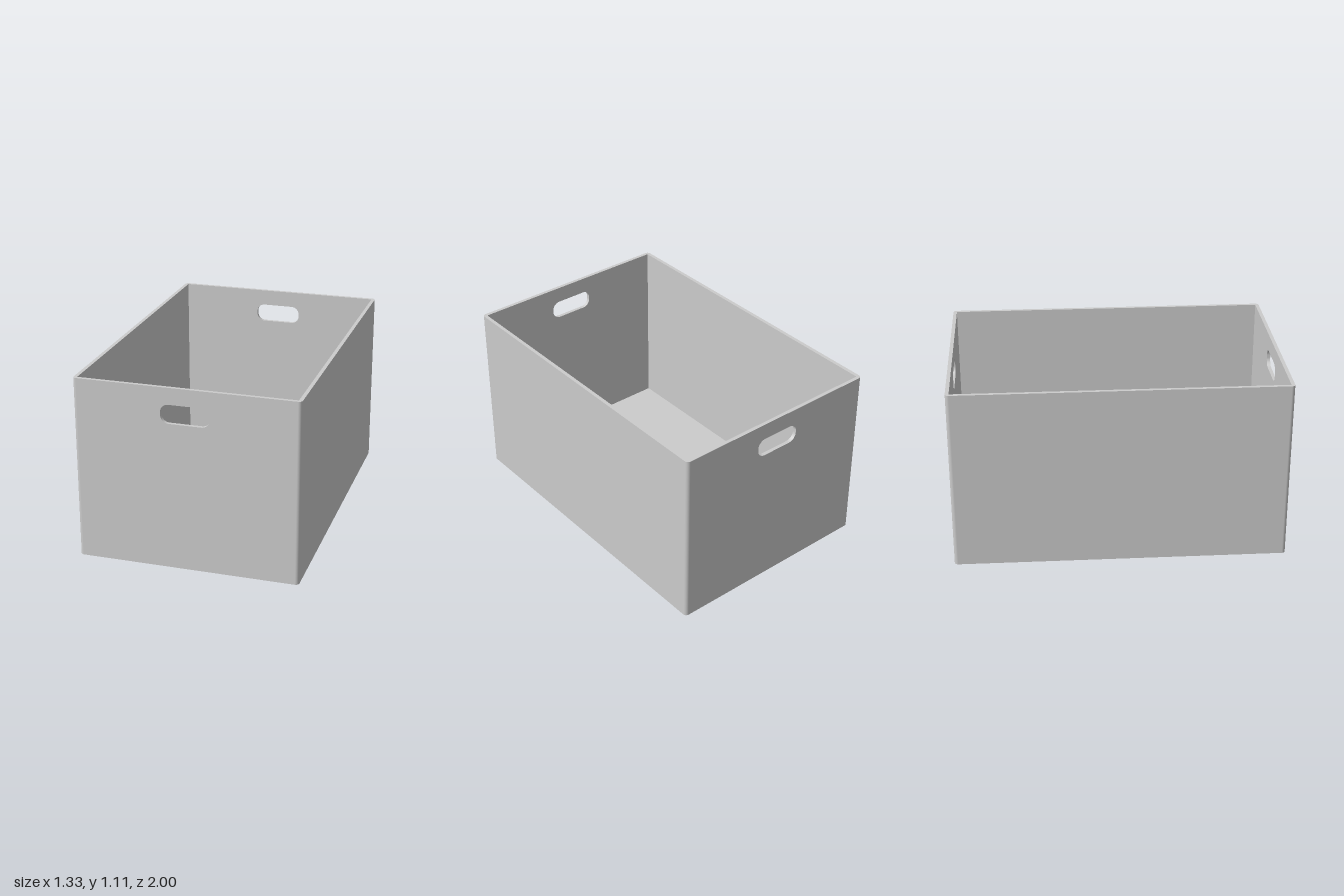
import * as THREE from 'three';

const HX = 0.665, HZ = 1, H = 1.11, W = 0.022; // half width, half depth, height, wall thickness

// Rounded rectangle centred on (0, cy), used for the grip opening
function roundedRect(w, h, r, cy) {
  const p = new THREE.Path(), x = w / 2 - r, y = h / 2 - r;
  p.absarc(x, cy + y, r, 0, Math.PI / 2);
  p.absarc(-x, cy + y, r, Math.PI / 2, Math.PI);
  p.absarc(-x, cy - y, r, Math.PI, Math.PI * 1.5);
  p.absarc(x, cy - y, r, Math.PI * 1.5, Math.PI * 2);
  p.closePath();
  return p;
}

export function createModel() {
  const group = new THREE.Group();
  const material = new THREE.MeshStandardMaterial({ color: 0xcccccc });
  const add = (name, geometry, x, y, z) => {
    const mesh = new THREE.Mesh(geometry, material);
    mesh.name = name;
    mesh.position.set(x, y, z);
    group.add(mesh);
  };
  const ix = HX - W, iz = HZ - W; // inner half sizes

  // Floor panel between the walls
  add('floor', new THREE.BoxGeometry(2 * ix, W, 2 * iz), 0, W / 2, 0);

  // Plain long side walls
  const side = new THREE.BoxGeometry(W, H, 2 * iz);
  add('leftWall', side, HX - W / 2, H / 2, 0);
  add('rightWall', side, -HX + W / 2, H / 2, 0);

  // End walls with a rounded hand grip cut through
  const panel = new THREE.Shape();
  panel.moveTo(-ix, 0).lineTo(ix, 0).lineTo(ix, H).lineTo(-ix, H).closePath();
  panel.holes.push(roundedRect(0.29, 0.114, 0.05, 0.953));
  const end = new THREE.ExtrudeGeometry(panel, { depth: W, bevelEnabled: false, curveSegments: 10 });
  add('frontWall', end, 0, 0, iz);
  add('backWall', end, 0, 0, -HZ);

  // Quarter-round vertical corners joining the walls
  [[1, 1], [1, -1], [-1, -1], [-1, 1]].forEach(([sx, sz], i) => {
    const corner = new THREE.CylinderGeometry(W, W, H, 8, 1, false, i * Math.PI / 2, Math.PI / 2);
    add('corner' + (i + 1), corner, sx * ix, H / 2, sz * iz);
  });
  return group;
}
